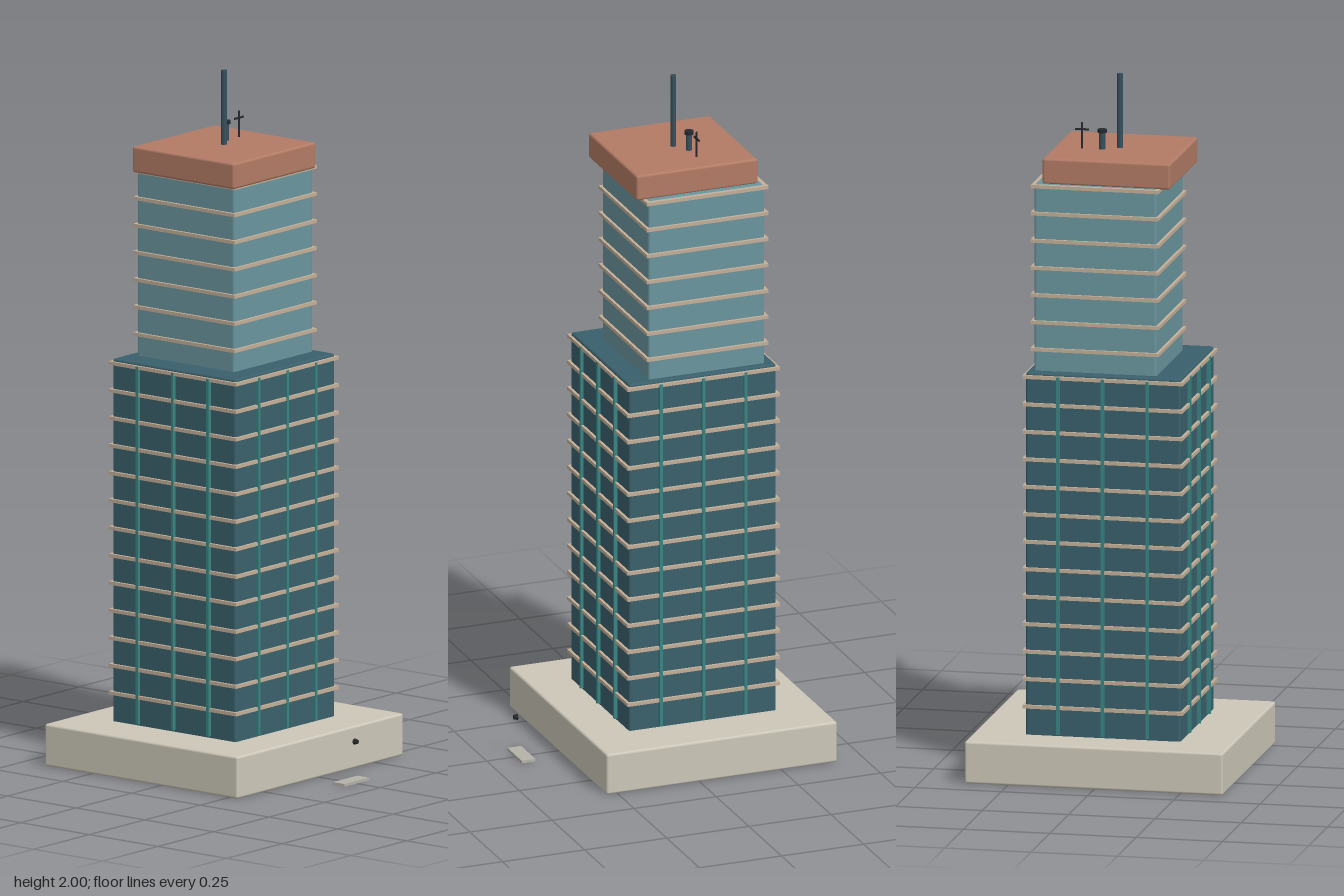
import * as THREE from 'three';
import { RoundedBoxGeometry } from 'three/addons/geometries/RoundedBoxGeometry.js';

const mat = (color) => new THREE.MeshStandardMaterial({ color });
const STONE = mat(0xccc7b8), DARK_GLASS = mat(0x3a606c), PALE_GLASS = mat(0x6a959e);
const TERRACOTTA = mat(0xb27b65), TAN = mat(0xc3af98), TEAL = mat(0x3a8583);
const STEEL = mat(0x37505c), BLACK = mat(0x24292e), GREY = mat(0xb4b1a8);
const CZ = -0.068; // centre line of the tower in z

export function createModel() {
  const model = new THREE.Group();
  model.name = 'skyscraper';

  const add = (name, geometry, material, x, y, z) => {
    const mesh = new THREE.Mesh(geometry, material);
    mesh.name = name;
    mesh.position.set(x, y, z);
    model.add(mesh);
    return mesh;
  };
  const box = (name, m, w, h, d, x, y, z) =>
    add(name, new THREE.BoxGeometry(w, h, d), m, x, y, z);
  // softly rounded block given by its bottom and top heights
  const block = (name, m, w, d, y0, y1, x, z) =>
    add(name, new RoundedBoxGeometry(w, y1 - y0, d, 3, 0.007), m, x, (y0 + y1) / 2, z);
  const rod = (name, m, rTop, rBottom, y0, y1, x, z) =>
    add(name, new THREE.CylinderGeometry(rTop, rBottom, y1 - y0, 20), m, x, (y0 + y1) / 2, z);

  // main masses
  block('plinth', STONE, 0.748, 0.702, 0, 0.122, 0, CZ);
  block('lowerTower', DARK_GLASS, 0.448, 0.448, 0.115, 1.172, 0, CZ - 0.001);
  block('upperTower', PALE_GLASS, 0.354, 0.354, 1.16, 1.712, 0.029, -0.088);
  block('roofCap', TERRACOTTA, 0.37, 0.37, 1.71, 1.785, 0, CZ);

  // floor bands around both towers
  for (let i = 0; i < 13; i++)
    box('lowerBand', TAN, 0.464, 0.01, 0.464, 0, 0.204 + i * 0.0796, CZ - 0.001);
  for (let i = 0; i < 7; i++)
    box('upperBand', TAN, 0.37, 0.01, 0.37, 0.029, 1.234 + i * 0.0787, -0.088);

  // vertical mullions, three on each face of the lower tower
  for (const side of [-1, 1]) {
    for (const offset of [-0.129, 0, 0.129]) {
      box('mullion', TEAL, 0.009, 1.035, 0.012, offset, 0.645, CZ - 0.001 + side * 0.228);
      box('mullion', TEAL, 0.012, 1.035, 0.009, side * 0.228, 0.645, CZ + offset);
    }
  }

  // rooftop equipment
  rod('mast', STEEL, 0.008, 0.008, 1.78, 2, 0, CZ);
  rod('ventPipe', STEEL, 0.009, 0.009, 1.78, 1.835, 0.045, -0.098);
  rod('ventCap', BLACK, 0.013, 0.013, 1.833, 1.843, 0.045, -0.098);
  rod('aerialPole', BLACK, 0.003, 0.003, 1.78, 1.86, 0.104, -0.098);
  box('aerialBar', BLACK, 0.04, 0.005, 0.004, 0.104, 1.84, -0.098);

  // detached front step and the small lamp above it
  box('frontStep', GREY, 0.11, 0.008, 0.042, 0, 0.004, 0.394);
  const lamp = add('entranceLamp', new THREE.CylinderGeometry(0.006, 0.009, 0.011, 16),
    BLACK, 0, 0.121, 0.4125);
  lamp.rotation.x = Math.PI / 2;

  return model;
}
